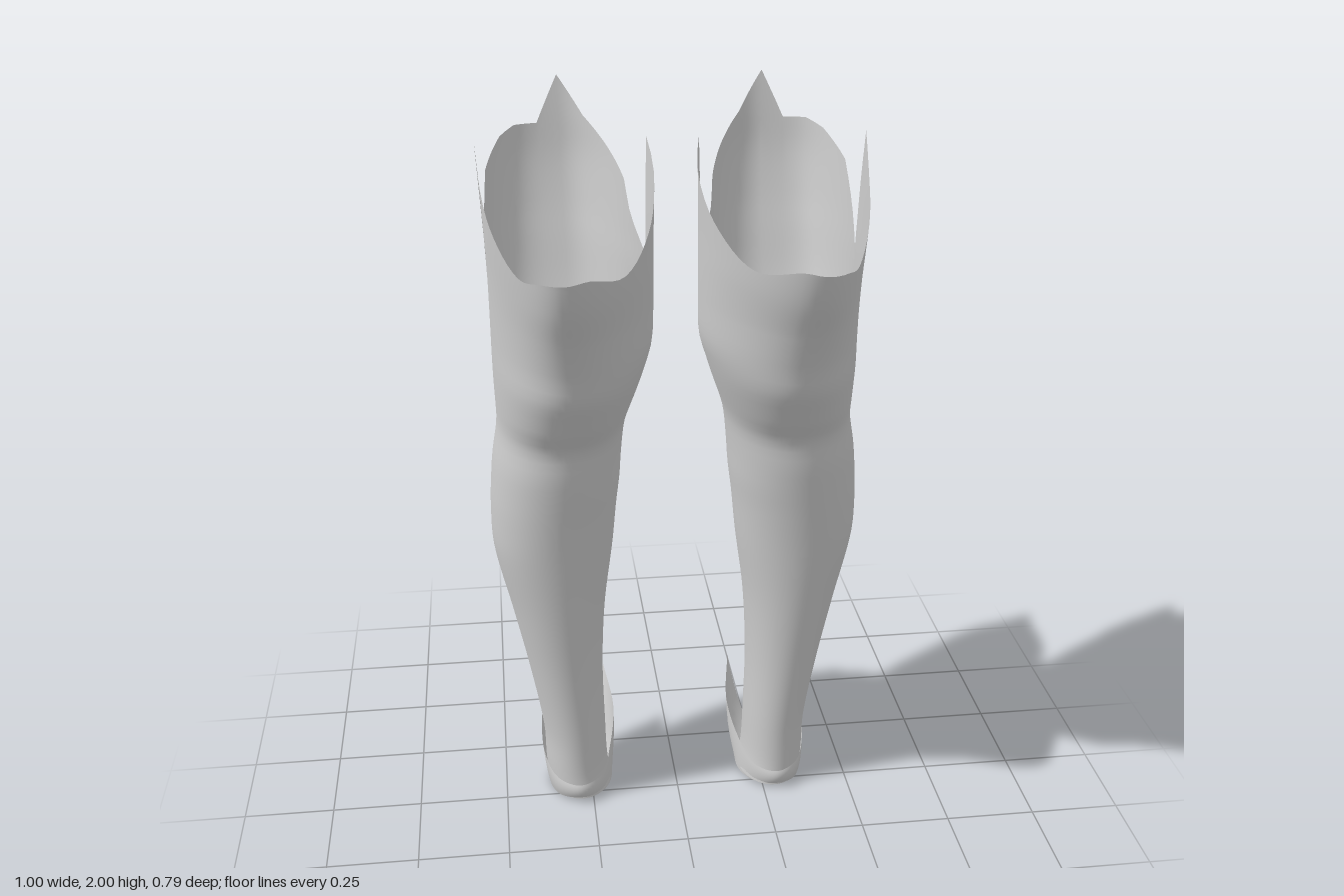
import * as THREE from 'three';

// Leg cross-sections: [y, inner x, outer x, front z, back z]
const SECTIONS = [
  [0.01, 0.191, 0.372, 0.048, -0.208],
  [0.08, 0.201, 0.379, 0.042, -0.192],
  [0.20, 0.205, 0.383, 0.042, -0.190],
  [0.40, 0.208, 0.415, 0.052, -0.205],
  [0.60, 0.198, 0.455, 0.070, -0.238],
  [0.80, 0.172, 0.497, 0.092, -0.265],
  [0.92, 0.160, 0.500, 0.108, -0.290],
  [1.00, 0.150, 0.495, 0.120, -0.315],
  [1.07, 0.145, 0.488, 0.130, -0.323],
  [1.16, 0.135, 0.473, 0.140, -0.287],
  [1.20, 0.125, 0.472, 0.170, -0.258],
  [1.27, 0.100, 0.474, 0.212, -0.222],
  [1.33, 0.080, 0.475, 0.247, -0.217],
  [1.40, 0.060, 0.475, 0.267, -0.235],
  [1.50, 0.056, 0.475, 0.310, -0.272],
  [1.60, 0.055, 0.476, 0.365, -0.305],
  [1.68, 0.055, 0.479, 0.397, -0.332],
  [1.80, 0.053, 0.484, 0.430, -0.364],
  [1.90, 0.050, 0.490, 0.450, -0.378],
  [2.00, 0.048, 0.494, 0.460, -0.394],
];

// Torn upper rim: [u, y], u runs from the front (0) round one side to the back (1)
const RIM_OUTER = [[0, 1.685], [0.1, 1.678], [0.2, 1.664], [0.33, 1.72], [0.44, 1.8], [0.507, 1.9],
  [0.509, 1.6], [0.63, 1.8], [0.745, 1.86], [0.82, 1.88], [0.915, 1.88], [1, 2]];
const RIM_INNER = [[0, 1.685], [0.07, 1.69], [0.2, 1.66], [0.33, 1.72], [0.44, 1.8], [0.507, 1.9],
  [0.509, 1.6], [0.63, 1.77], [0.745, 1.83], [0.88, 1.9], [1, 2]];

// Smooth interpolation through the rows of a table keyed on column 0
function sample(table, t) {
  let i = 0;
  while (i < table.length - 2 && t > table[i + 1][0]) i++;
  const a = table[i], b = table[i + 1];
  const p = table[Math.max(i - 1, 0)], n = table[Math.min(i + 2, table.length - 1)];
  const h = b[0] - a[0], s = (t - a[0]) / h, s2 = s * s, s3 = s2 * s;
  return a.map((_, k) => {
    const ma = (b[k] - p[k]) / (b[0] - p[0]) * h, mb = (n[k] - a[k]) / (n[0] - a[0]) * h;
    return (2 * s3 - 3 * s2 + 1) * a[k] + (s3 - 2 * s2 + s) * ma
      + (3 * s2 - 2 * s3) * b[k] + (s3 - s2) * mb;
  });
}

// Subdivide the rim knots into columns, rounding only the front curve
function rimColumns(rim) {
  const front = rim.filter(k => k[0] < 0.508), out = [];
  for (let i = 0; i < rim.length - 1; i++) {
    const [u0, y0] = rim[i], [u1, y1] = rim[i + 1];
    const n = Math.max(1, Math.round((u1 - u0) / 0.025));
    for (let j = 0; j < n; j++) {
      const u = u0 + (u1 - u0) * j / n;
      out.push([u, u < 0.507 ? sample(front, u)[1] : y0 + (y1 - y0) * j / n]);
    }
  }
  return out;
}

// Build a smooth surface from a grid of points; side -1 mirrors it in x
function gridGeometry(rows, cols, closed, side, point) {
  const pos = [], idx = [];
  for (let j = 0; j <= rows; j++)
    for (let i = 0; i < cols; i++) {
      const [x, y, z] = point(i, j / rows);
      pos.push(side * x, y, z);
    }
  for (let j = 0; j < rows; j++)
    for (let i = 0; i < (closed ? cols : cols - 1); i++) {
      const k = (i + 1) % cols;
      const a = j * cols + i, b = j * cols + k, c = a + cols, d = b + cols;
      if (side > 0) idx.push(a, b, d, a, d, c);
      else idx.push(a, d, b, a, c, d);
    }
  const g = new THREE.BufferGeometry();
  g.setAttribute('position', new THREE.Float32BufferAttribute(pos, 3));
  g.setIndex(idx);
  g.computeVertexNormals();
  return g;
}

function legPoint(theta, y) {
  const [, xi, xo, zf, zb] = sample(SECTIONS, y);
  const { smoothstep } = THREE.MathUtils;
  const s = Math.sin(theta), c = Math.cos(theta);
  const cz = -0.08 - 0.015 * smoothstep(y, 1.2, 1.7);
  const thigh = smoothstep(y, 1.16, 1.6);
  const diag = Math.sin(2 * theta) ** 2;
  // Thigh: pointed at the front with the crest set outward, fuller at the
  // outer back, flattened at the inner back
  let k = c, w = s, crest = 0;
  if (c > 0) {
    k -= 0.08 * thigh * diag;
    crest = 0.025 * thigh * c ** 4;
  } else if (s > 0) k -= 0.1 * thigh * diag;
  if (s < 0) w *= 1 - 0.22 * thigh * smoothstep(-c, -0.15, 0.3);
  return [(xi + xo) / 2 + (xo - xi) / 2 * w + crest, y, cz + k * (c > 0 ? zf - cz : cz - zb)];
}

function legGeometry(side) {
  const outer = rimColumns(RIM_OUTER).map(([u, y]) => [u * Math.PI, y]);
  const inner = rimColumns(RIM_INNER).slice(1).reverse().map(([u, y]) => [-u * Math.PI, y]);
  const cols = [...outer, [Math.PI, 2], ...inner];
  const y0 = 0.012, split = 1.5, f = 0.78;
  return gridGeometry(72, cols.length, true, side, (i, v) => {
    const [theta, rim] = cols[i];
    const y = v < f ? y0 + (split - y0) * v / f : split + (rim - split) * (v - f) / (1 - f);
    return legPoint(theta, y);
  });
}

// Ankle cuff: bottom, middle and top edges swept from one wing tip round the front to the other
const curve = pts => new THREE.CatmullRomCurve3(pts.map(p => new THREE.Vector3(...p)), false, 'centripetal');
const CUFF = [
  curve([[0.27, 0.02, -0.212], [0.335, 0.01, -0.175], [0.372, 0.0, -0.08], [0.345, 0.008, 0.015],
    [0.285, 0.018, 0.05], [0.225, 0.008, 0.015], [0.188, 0.0, -0.08], [0.205, 0.01, -0.175], [0.265, 0.02, -0.212]]),
  curve([[0.318, 0.1, -0.25], [0.362, 0.075, -0.185], [0.382, 0.05, -0.08], [0.35, 0.038, 0.02],
    [0.287, 0.04, 0.056], [0.225, 0.038, 0.02], [0.188, 0.05, -0.08], [0.18, 0.075, -0.185], [0.225, 0.1, -0.25]]),
  curve([[0.36, 0.24, -0.312], [0.385, 0.165, -0.19], [0.386, 0.1, -0.08], [0.35, 0.068, 0.015],
    [0.287, 0.06, 0.05], [0.225, 0.068, 0.015], [0.192, 0.1, -0.08], [0.172, 0.165, -0.19], [0.192, 0.24, -0.312]]),
];

function cuffGeometry(side) {
  const n = 49, lines = CUFF.map(c => c.getPoints(n - 1));
  // The sweep runs from back to front on the outer side, so step through it backwards
  return gridGeometry(8, n, false, side, (i, v) => {
    const [a, b, c] = lines.map(l => l[n - 1 - i]);
    const w = [(1 - v) * (1 - 2 * v), 4 * v * (1 - v), v * (2 * v - 1)];
    return ['x', 'y', 'z'].map(k => a[k] * w[0] + b[k] * w[1] + c[k] * w[2]);
  });
}

export function createModel() {
  const model = new THREE.Group();
  model.name = 'legPair';
  const material = new THREE.MeshStandardMaterial({ color: 0xcccccc, side: THREE.DoubleSide });
  for (const [label, side] of [['left', 1], ['right', -1]]) {
    const group = new THREE.Group();
    group.name = label + 'Leg';
    const shell = new THREE.Mesh(legGeometry(side), material);
    shell.name = label + 'LegShell';
    const cuff = new THREE.Mesh(cuffGeometry(side), material);
    cuff.name = label + 'AnkleCuff';
    group.add(shell, cuff);
    model.add(group);
  }
  return model;
}
